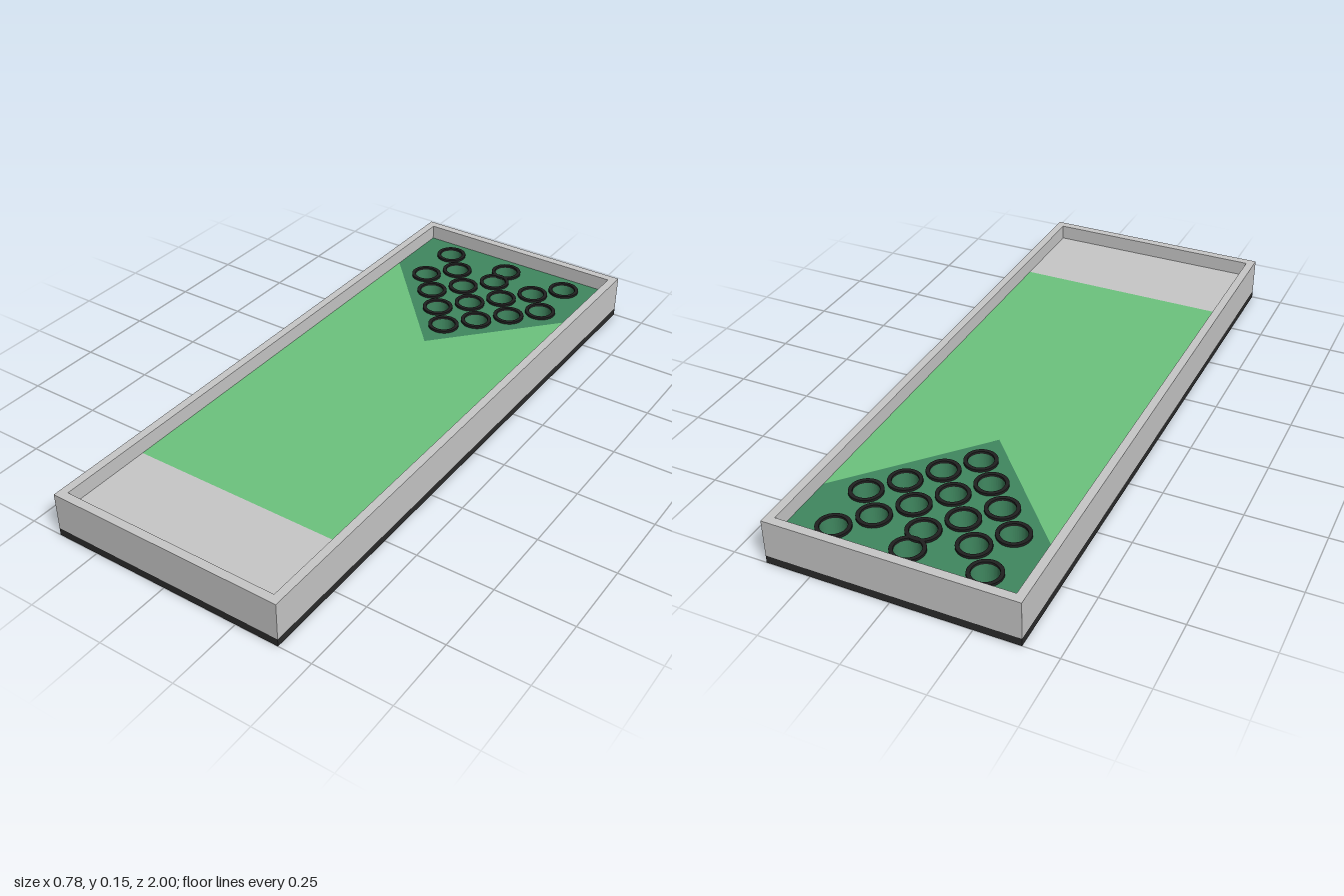
import * as THREE from 'three';

const mat = (name, color, side = THREE.FrontSide) => {
  const m = new THREE.MeshStandardMaterial({ color, side });
  m.name = name;
  return m;
};

// Horizontal slab between heights y0 and y1, outlined by [x, z] points
function slab(points, holes, y0, y1) {
  const shape = new THREE.Shape(points.map(([x, z]) => new THREE.Vector2(x, -z)));
  shape.holes = holes;
  const geo = new THREE.ExtrudeGeometry(shape, { depth: y1 - y0, bevelEnabled: false, curveSegments: 24 });
  return geo.rotateX(-Math.PI / 2).translate(0, y0, 0);
}

const rect = (w, z0, z1) => [[-w, z0], [-w, z1], [w, z1], [w, z0]];
const circle = (x, z, r) => new THREE.Path().absarc(x, -z, r, 0, Math.PI * 2, true);

export function createModel() {
  const model = new THREE.Group();
  const grey = mat('light grey', 0xc8c8c8);
  const black = mat('black', 0x2b2b2b);
  const rimBlack = mat('rim black', 0x1f1f1f);
  const green = mat('light green', 0x6dc47e);
  const darkGreen = mat('dark green', 0x408860);
  const cupColors = {
    yellow: mat('yellow', 0xc8bc08),
    blue: mat('blue', 0x7080c8),
    red: mat('red', 0xc8384a),
  };
  const add = (name, geo, material, parent = model) => {
    const mesh = new THREE.Mesh(geo, material);
    mesh.name = name;
    parent.add(mesh);
    return mesh;
  };

  const W = 0.392, IW = 0.365, IL = 0.972;
  const baseTop = 0.025, floorTop = 0.098, wallTop = 0.148;
  const cornerZ = -0.735, tipZ = -0.33, lawnEnd = 0.67;

  // Base and surrounding walls
  add('base', slab(rect(W, -1, 1), [], 0, baseTop), black);
  const opening = new THREE.Path(rect(IW, -IL, IL).map(([x, z]) => new THREE.Vector2(x, -z)));
  add('walls', slab(rect(W, -1, 1), [opening], baseTop, wallTop), grey);

  // Launch area and rolling surface
  add('launchArea', slab(rect(IW, lawnEnd, IL), [], baseTop, floorTop), grey);
  add('playingSurface', slab(
    [[-IW, cornerZ], [-IW, lawnEnd], [IW, lawnEnd], [IW, cornerZ], [0, tipZ]],
    [], baseTop, floorTop), green);

  // Hole layout: x, z, colour
  const holes = [[0, -0.89, 'red'], [0, -0.803, 'red'], [0, -0.628, 'blue'], [0, -0.452, 'yellow']];
  const pairs = [
    [0.234, -0.89, 'blue'], [0.156, -0.803, 'blue'], [0.078, -0.715, 'blue'],
    [0.234, -0.715, 'yellow'], [0.156, -0.628, 'yellow'], [0.078, -0.54, 'yellow'],
  ];
  for (const [x, z, c] of pairs) holes.push([x, z, c], [-x, z, c]);

  // Target area, pierced by the holes
  const R = 0.04;
  add('targetArea', slab(
    [[-IW, -IL], [-IW, cornerZ], [0, tipZ], [IW, cornerZ], [IW, -IL]],
    holes.map(([x, z]) => circle(x, z, R)), baseTop, floorTop), darkGreen);

  // Raised rim and coloured bottom of each hole
  const ringShape = new THREE.Shape().absarc(0, 0, 0.052, 0, Math.PI * 2, false);
  ringShape.holes.push(circle(0, 0, R));
  const rimGeo = new THREE.ExtrudeGeometry(ringShape, { depth: 0.008, bevelEnabled: false, curveSegments: 24 })
    .rotateX(-Math.PI / 2);
  const discGeo = new THREE.CylinderGeometry(R, R, 0.005, 32);
  for (const [x, z, c] of holes) {
    const hole = new THREE.Group();
    hole.name = 'targetHole';
    hole.position.set(x, 0, z);
    add('rim', rimGeo, rimBlack, hole).position.y = floorTop;
    add('holeBottom', discGeo, cupColors[c], hole).position.y = baseTop + 0.0025;
    model.add(hole);
  }
  return model;
}
